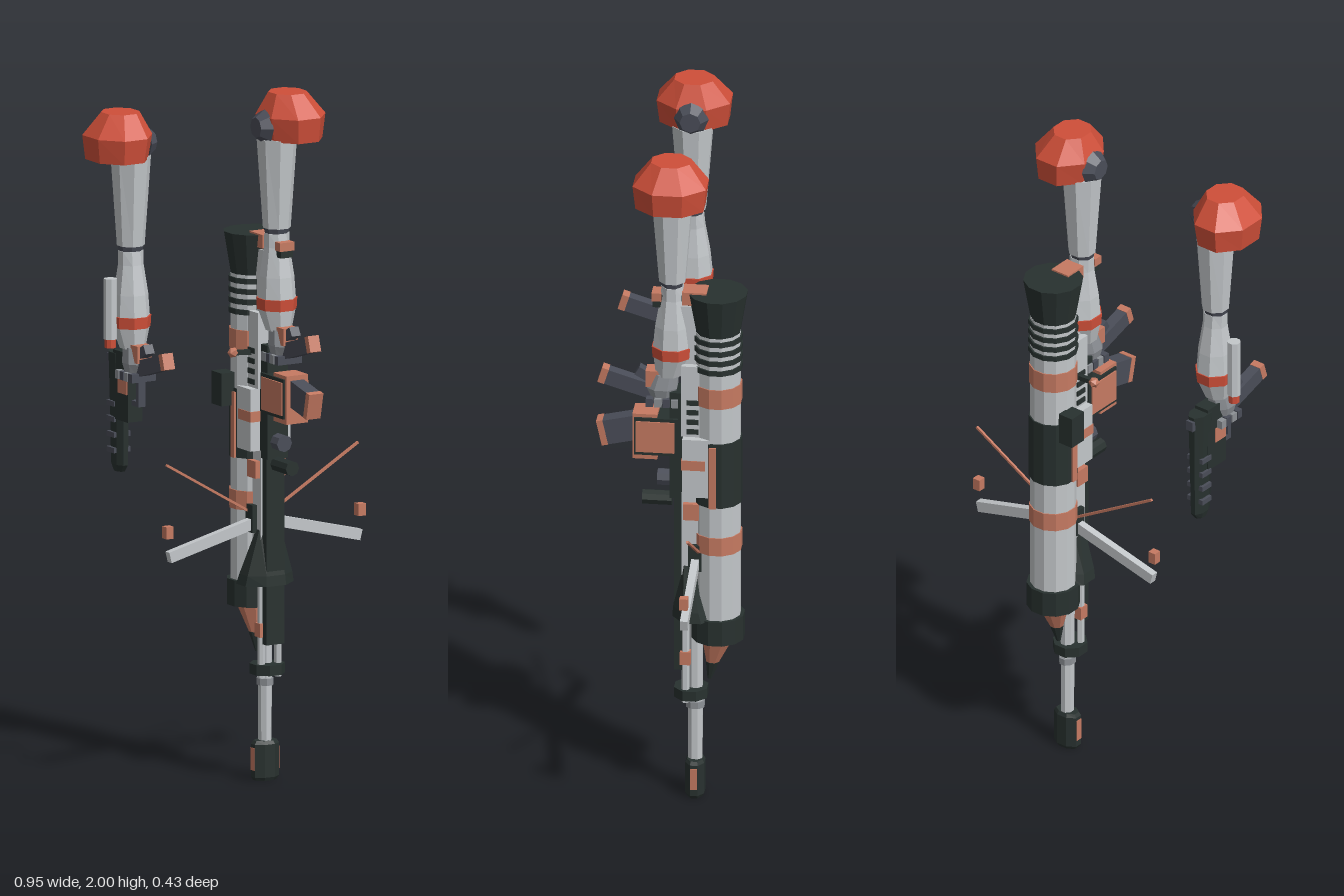
import * as THREE from 'three';

const mat = (name, color) => {
  const m = new THREE.MeshStandardMaterial({ color, flatShading: true });
  m.name = name;
  return m;
};

export function createModel() {
  const root = new THREE.Group();
  const light = mat('light grey', 0xc3c7ca), grey = mat('mid grey', 0x8d9196);
  const dark = mat('near black', 0x28312f), slate = mat('slate', 0x4a4d58);
  const salmon = mat('salmon', 0xc67a62), red = mat('red', 0xcf4f39);

  const add = (parent, name, geo, m) => {
    const mesh = new THREE.Mesh(geo, m);
    mesh.name = name;
    parent.add(mesh);
    return mesh;
  };
  const group = (name, x = 0, z = 0) => {
    const g = new THREE.Group();
    g.name = name;
    g.position.set(x, 0, z);
    root.add(g);
    return g;
  };
  // box given by its extents
  const box = (p, name, m, x0, x1, y0, y1, z0, z1) => {
    const b = add(p, name, new THREE.BoxGeometry(x1 - x0, y1 - y0, z1 - z0), m);
    b.position.set((x0 + x1) / 2, (y0 + y1) / 2, (z0 + z1) / 2);
    return b;
  };
  // closed polygonal column through sections [y, cx, cz, halfX, halfZ]
  const loft = (p, name, m, sections, n = 8) => {
    const pos = [], idx = [], k = 1 / Math.cos(Math.PI / n);
    for (const [y, cx, cz, rx, rz] of sections)
      for (let i = 0; i < n; i++) {
        const a = ((i + 0.5) / n) * Math.PI * 2;
        pos.push(cx + Math.cos(a) * rx * k, y, cz + Math.sin(a) * rz * k);
      }
    const last = sections.length - 1;
    for (let s = 0; s < last; s++)
      for (let i = 0; i < n; i++) {
        const j = (i + 1) % n, a = s * n + i, d = s * n + j;
        idx.push(a, a + n, d + n, a, d + n, d);
      }
    for (let i = 1; i < n - 1; i++) {
      idx.push(0, i, i + 1);
      idx.push(last * n, last * n + i + 1, last * n + i);
    }
    const g = new THREE.BufferGeometry();
    g.setAttribute('position', new THREE.Float32BufferAttribute(pos, 3));
    g.setIndex(idx);
    g.computeVertexNormals();
    return add(p, name, g, m);
  };
  // straight bar between two points
  const bar = (p, name, m, a, b, w, d) => {
    const A = new THREE.Vector3(...a), B = new THREE.Vector3(...b), dir = B.clone().sub(A);
    const mesh = add(p, name, new THREE.BoxGeometry(w, dir.length(), d), m);
    mesh.position.copy(A).add(B).multiplyScalar(0.5);
    mesh.quaternion.setFromUnitVectors(new THREE.Vector3(0, 1, 0), dir.normalize());
    return mesh;
  };

  // Arms, s points away from the body
  const buildArm = (name, x, s) => {
    const arm = group(name, x);
    loft(arm, 'shoulderPad', red, [
      [1.865, s * 0.047, 0, 0.08, 0.097], [1.935, s * 0.045, 0, 0.09, 0.105], [2, s * 0.035, 0, 0.05, 0.055]]);
    const joint = add(arm, 'shoulderJoint', new THREE.CylinderGeometry(0.03, 0.05, 0.03, 8), slate);
    joint.rotation.z = s * Math.PI / 2;
    joint.position.set(-s * 0.055, 1.905, 0);
    box(arm, 'jointAxle', slate, -0.05, 0.05, 1.88, 1.93, -0.03, 0.03);
    loft(arm, 'upperArm', light, [[1.61, 0, 0, 0.037, 0.037], [1.87, 0, 0, 0.053, 0.057]]);
    loft(arm, 'elbow', slate, [[1.585, 0, 0, 0.03, 0.026], [1.612, 0, 0, 0.036, 0.033]]);
    loft(arm, 'forearm', light, [
      [1.405, 0, 0, 0.05, 0.054], [1.47, 0, 0, 0.046, 0.048], [1.555, 0, 0, 0.034, 0.034], [1.595, 0, 0, 0.034, 0.03]]);
    loft(arm, 'wristBand', red, [[1.375, 0, 0, 0.052, 0.055], [1.408, 0, 0, 0.054, 0.057]]);
    loft(arm, 'cuff', light, [[1.315, 0, 0.01, 0.034, 0.036], [1.376, 0, 0, 0.05, 0.052]]);
    // Hand closed around a grip that points forward
    loft(arm, 'palm', grey, [[1.235, 0, 0.03, 0.026, 0.03], [1.275, 0, 0.03, 0.036, 0.044], [1.32, 0, 0.02, 0.03, 0.038]]);
    for (let i = 0; i < 4; i++)
      box(arm, 'finger', i % 2 ? slate : grey, -0.04, 0.04, 1.225, 1.25, -0.02 + i * 0.024, 0 + i * 0.024);
    box(arm, 'thumb', salmon, -0.024, 0.024, 1.28, 1.33, 0.035, 0.075);
    bar(arm, 'grip', slate, [0, 1.25, 0.02], [0, 1.303, 0.192], 0.034, 0.045);
    bar(arm, 'gripCap', salmon, [0, 1.302, 0.187], [0, 1.308, 0.206], 0.036, 0.047);
    bar(arm, 'hammerSpur', slate, [0, 1.285, 0.03], [0, 1.325, 0.1], 0.03, 0.028);
    return arm;
  };
  const rightArm = buildArm('rightArm', -0.345, -1);
  buildArm('leftArm', 0.14, 1);
  loft(rightArm, 'forearmCanister', light, [[1.345, -0.068, 0, 0.018, 0.018], [1.52, -0.068, 0, 0.018, 0.018]]);
  loft(rightArm, 'canisterCap', red, [[1.32, -0.068, 0, 0.015, 0.015], [1.345, -0.068, 0, 0.015, 0.015]]);

  // Pistol in the right hand, muzzle down
  const pistol = group('pistol', -0.343);
  loft(pistol, 'slide', dark, [
    [0.945, 0, -0.065, 0.013, 0.02], [0.965, 0, -0.065, 0.018, 0.034], [1.1, 0, -0.065, 0.02, 0.037], [1.29, 0, -0.065, 0.026, 0.042]]);
  box(pistol, 'frame', dark, -0.024, 0.024, 1.1, 1.3, -0.06, 0.02);
  box(pistol, 'triggerGuard', slate, -0.012, 0.012, 1.15, 1.165, -0.03, 0.05);
  box(pistol, 'triggerGuardFront', slate, -0.012, 0.012, 1.15, 1.25, 0.045, 0.058);
  box(pistol, 'rearSight', slate, -0.012, 0.012, 1.25, 1.28, -0.115, -0.1);
  box(pistol, 'framePlate', salmon, -0.027, 0.027, 1.18, 1.225, -0.03, 0.018);
  for (let i = 0; i < 4; i++)
    box(pistol, 'slideGroove', slate, -0.028, 0.028, 1 + i * 0.045, 1.015 + i * 0.045, -0.09, -0.05);

  // Launcher tube on the left side of the body
  const launcher = group('launcher', 0.14, -0.13);
  const tube = (name, m, y0, y1, r0, r1 = r0) => loft(launcher, name, m, [[y0, 0, 0, r0, r0], [y1, 0, 0, r1, r1]], 12);
  tube('tube', light, 0.55, 1.46, 0.064);
  tube('muzzleCollar', dark, 0.5, 0.575, 0.074);
  tube('lowerBand', salmon, 0.78, 0.835, 0.067);
  tube('darkSleeve', dark, 0.93, 1.13, 0.068);
  tube('upperBand', salmon, 1.24, 1.3, 0.067);
  for (let i = 0; i < 4; i++) tube('coolingRing', dark, 1.345 + i * 0.03, 1.36 + i * 0.03, 0.069);
  tube('exhaustFlare', dark, 1.445, 1.58, 0.061, 0.083);
  box(launcher, 'sideSight', dark, -0.108, -0.06, 1.08, 1.175, -0.05, 0.005);
  box(launcher, 'sightBracket', dark, -0.08, -0.04, 1.1, 1.15, -0.04, 0);
  loft(launcher, 'warhead', salmon, [[0.42, 0, 0.015, 0.018, 0.018], [0.5, 0, 0, 0.044, 0.044]]);
  loft(launcher, 'warheadTip', dark, [[0.365, 0, 0.024, 0.006, 0.006], [0.42, 0, 0.015, 0.019, 0.019]]);

  // Long rifle, muzzle down
  const rifle = group('rifle', 0.14);
  loft(rifle, 'muzzleBrake', dark, [[0, 0, -0.065, 0.034, 0.022], [0.01, 0, -0.065, 0.04, 0.027],
    [0.105, 0, -0.065, 0.04, 0.027], [0.115, 0, -0.065, 0.034, 0.022]]);
  for (const s of [-1, 1])
    box(rifle, 'brakePort', salmon, s * 0.039 - 0.003, s * 0.039 + 0.003, 0.03, 0.095, -0.075, -0.055);
  loft(rifle, 'barrel', light, [[0.11, 0, -0.065, 0.017, 0.02], [0.6, 0, -0.065, 0.02, 0.022]]);
  loft(rifle, 'barrelRing', grey, [[0.275, 0, -0.065, 0.022, 0.026], [0.295, 0, -0.065, 0.022, 0.026]]);
  loft(rifle, 'barrelCollar', dark, [[0.31, 0, -0.053, 0.047, 0.047], [0.34, 0, -0.053, 0.047, 0.047]]);
  for (const s of [-1, 1]) {
    loft(rifle, 'gasRod', light, [[0.3, s * 0.028, -0.04, 0.009, 0.01], [0.6, s * 0.028, -0.04, 0.009, 0.01]], 6);
    box(rifle, 'rodClamp', salmon, s * 0.028 - 0.012, s * 0.028 + 0.012, 0.42, 0.46, -0.055, -0.025);
  }
  bar(rifle, 'frontRail', dark, [0, 0.4, -0.022], [0, 0.95, -0.022], 0.06, 0.03);
  loft(rifle, 'flaredGuard', dark, [[0.57, 0, -0.065, 0.08, 0.062], [0.6, 0, -0.06, 0.074, 0.055], [0.73, 0, -0.045, 0.036, 0.02]]);
  box(rifle, 'handguard', light, -0.035, 0.035, 0.7, 0.96, -0.085, -0.03);
  box(rifle, 'handguardPanel', salmon, -0.05, 0.05, 0.88, 0.93, -0.08, -0.035);
  box(rifle, 'receiver', light, -0.066, 0.066, 0.96, 1.14, -0.115, -0.035);
  box(rifle, 'receiverBand', salmon, -0.068, 0.068, 1.045, 1.075, -0.1, -0.032);
  for (const s of [-1, 1])
    box(rifle, 'sideStrip', salmon, s * 0.07 - 0.004, s * 0.07 + 0.004, 0.93, 1.12, -0.132, -0.112);
  box(rifle, 'upperReceiver', light, -0.045, 0.045, 1.14, 1.36, -0.09, -0.03);
  for (let i = 0; i < 4; i++)
    box(rifle, 'ventSlot', dark, -0.049, 0.049, 1.15 + i * 0.03, 1.165 + i * 0.03, -0.08, -0.045);
  box(rifle, 'innerFrame', dark, -0.034, 0.034, 0.94, 1.27, -0.04, 0.005);

  // Magazine with its slanted front part
  box(rifle, 'magazineFrame', dark, -0.042, 0.042, 1.075, 1.19, -0.02, 0.105);
  box(rifle, 'magazinePlate', salmon, -0.046, 0.046, 1.085, 1.18, -0.01, 0.1);
  box(rifle, 'magazineFoot', salmon, -0.036, 0.036, 1.06, 1.2, 0.04, 0.111);
  bar(rifle, 'foreGrip', slate, [0, 1.15, 0.1], [0, 1.127, 0.2], 0.045, 0.075);
  bar(rifle, 'foreGripCap', salmon, [0, 1.13, 0.19], [0, 1.126, 0.208], 0.047, 0.077);

  // Scope and small fittings
  const scope = add(rifle, 'scope', new THREE.CylinderGeometry(0.022, 0.022, 0.085, 8), dark);
  scope.rotation.x = Math.PI / 2;
  scope.position.set(0, 0.925, 0.043);
  const lens = add(rifle, 'lensHousing', new THREE.CylinderGeometry(0.025, 0.025, 0.06, 8), slate);
  lens.rotation.x = Math.PI / 2;
  lens.position.set(0, 0.99, 0.012);
  bar(rifle, 'boltRod', dark, [-0.1, 1.245, -0.07], [-0.03, 1.24, -0.07], 0.014, 0.014);
  add(rifle, 'boltKnob', new THREE.IcosahedronGeometry(0.016, 0), salmon).position.set(-0.102, 1.245, -0.072);
  box(rifle, 'stock', light, -0.026, 0.026, 1.34, 1.54, -0.07, -0.022);
  box(rifle, 'stockStrut', dark, -0.02, 0.02, 1.53, 1.57, -0.06, 0.055);
  box(rifle, 'buttPad', salmon, -0.03, 0.03, 1.545, 1.585, -0.1, -0.03);
  box(rifle, 'buttToe', salmon, -0.024, 0.024, 1.55, 1.575, 0.03, 0.058);

  // Spread bipod with thin braces and loose feet
  const bipod = group('bipod', 0.14, -0.07);
  box(bipod, 'hinge', dark, -0.05, 0.05, 0.72, 0.8, -0.02, 0.02);
  for (const s of [-1, 1]) {
    bar(bipod, 'bipodLeg', light, [s * 0.04, 0.745, 0], [s * 0.317, 0.675, 0], 0.032, 0.022);
    bar(bipod, 'bipodBrace', salmon, [s * 0.03, 0.77, -0.01], [s * 0.318, 0.94, -0.01], 0.007, 0.007);
    box(bipod, 'bipodFoot', salmon, s * 0.319 - 0.012, s * 0.319 + 0.012, 0.73, 0.765, -0.012, 0.012);
  }
  return root;
}
